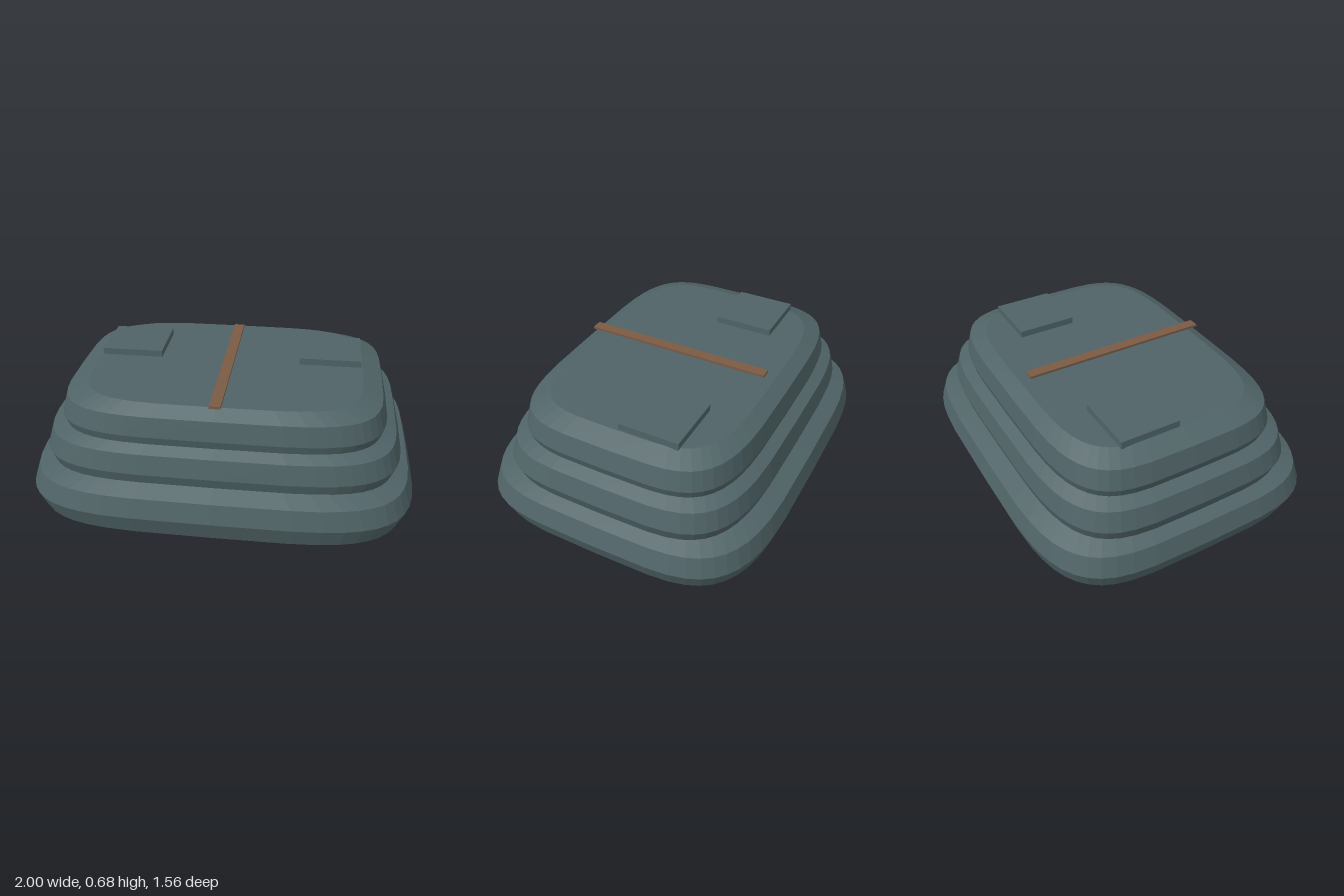
import * as THREE from 'three';

const SEGMENTS = 48;
// [height fraction, width fraction] of one cushion, bottom to top
const PROFILE = [[0, 0.845], [0.14, 0.96], [0.5, 1], [0.86, 0.967], [1, 0.845]];

// Point on a soft-cornered rectangle (superellipse)
function outline(angle, halfX, halfZ) {
  const soften = (v) => Math.sign(v) * Math.pow(Math.abs(v), 0.45);
  return [soften(Math.cos(angle)) * halfX, soften(Math.sin(angle)) * halfZ];
}

// Closed cushion lofted through the profile rings
function cushionGeometry(halfX, halfZ, height) {
  const positions = [];
  const index = [];
  for (const [h, w] of PROFILE) {
    for (let i = 0; i < SEGMENTS; i++) {
      const [x, z] = outline((i / SEGMENTS) * Math.PI * 2, halfX * w, halfZ * w);
      positions.push(x, h * height, z);
    }
  }
  const last = (PROFILE.length - 1) * SEGMENTS;
  const bottom = PROFILE.length * SEGMENTS;
  const top = bottom + 1;
  positions.push(0, 0, 0, 0, height, 0);
  for (let i = 0; i < SEGMENTS; i++) {
    const j = (i + 1) % SEGMENTS;
    for (let r = 0; r < last; r += SEGMENTS) {
      const a = r + i, b = r + j, c = a + SEGMENTS, d = b + SEGMENTS;
      index.push(a, c, b, b, c, d);
    }
    index.push(bottom, i, j, top, last + j, last + i);
  }
  const geometry = new THREE.BufferGeometry();
  geometry.setAttribute('position', new THREE.Float32BufferAttribute(positions, 3));
  geometry.setIndex(index);
  const flat = geometry.toNonIndexed();
  flat.computeVertexNormals();
  return flat;
}

export function createModel() {
  const model = new THREE.Group();
  model.name = 'stackedCushions';
  const slate = new THREE.MeshStandardMaterial({ color: 0x4f6366 });
  slate.name = 'slate';
  const brown = new THREE.MeshStandardMaterial({ color: 0x7b5a43 });
  brown.name = 'brown';

  const add = (name, geometry, material, x, y, z) => {
    const mesh = new THREE.Mesh(geometry, material);
    mesh.name = name;
    mesh.position.set(x, y, z);
    model.add(mesh);
  };

  // Three overlapping tiers, each smaller than the one below
  add('lowerTier', cushionGeometry(1, 0.778, 0.28), slate, 0, 0, 0);
  add('middleTier', cushionGeometry(0.922, 0.678, 0.28), slate, 0, 0.19, 0);
  add('upperTier', cushionGeometry(0.838, 0.607, 0.28), slate, 0, 0.36, 0);

  // Square pads on the top
  for (const [name, side] of [['leftPad', 1], ['rightPad', -1]]) {
    add(name, new THREE.BoxGeometry(0.326, 0.04, 0.316), slate, side * 0.537, 0.655, -0.173);
  }

  // Thin strip running front to back, just above the top
  add('centreStrip', new THREE.BoxGeometry(0.056, 0.013, 1.02), brown, 0, 0.661, 0.047);

  return model;
}
